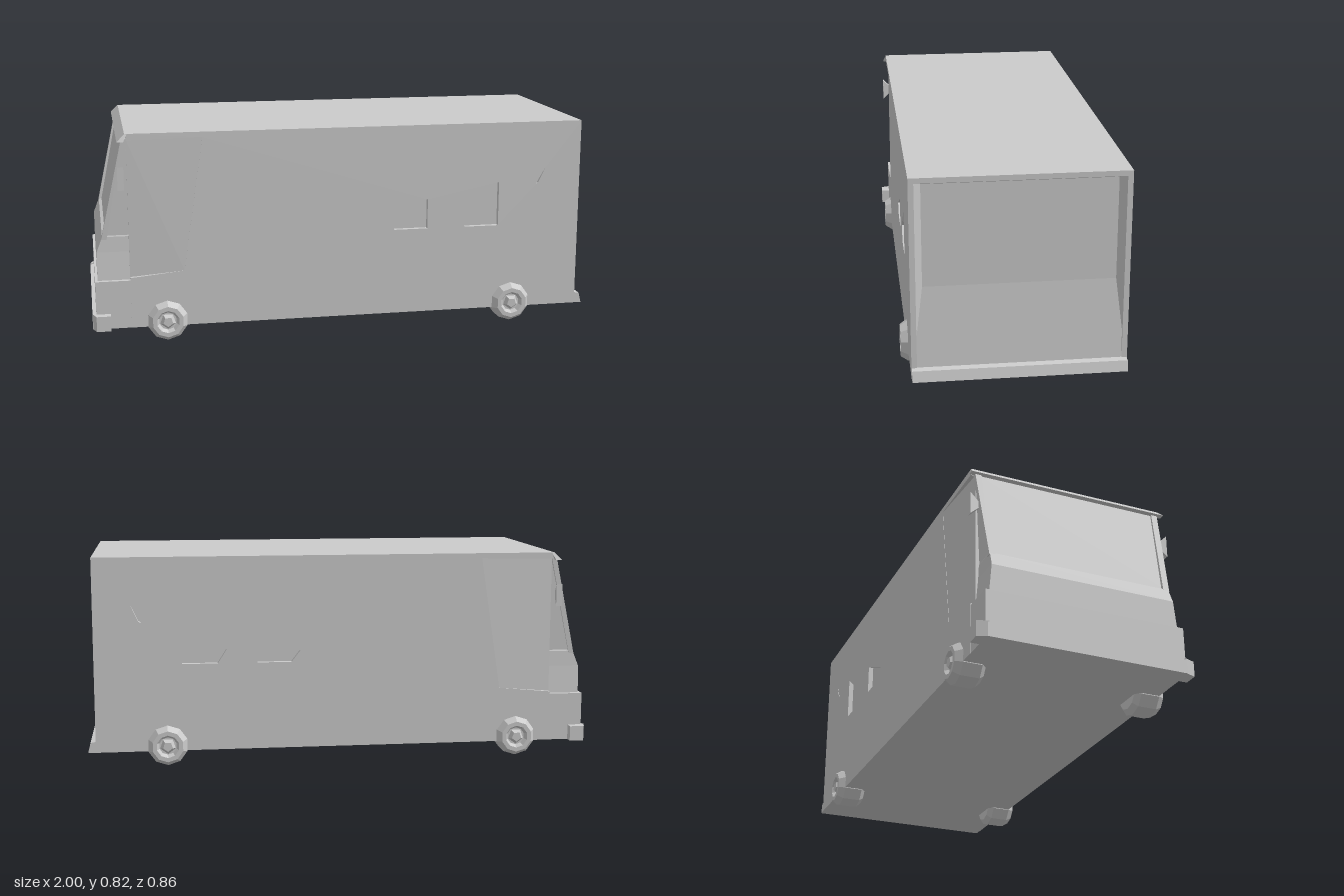
import * as THREE from 'three';

const mat = new THREE.MeshStandardMaterial({ color: 0xcccccc, flatShading: true, side: THREE.DoubleSide });

function add(parent, name, geometry, x = 0, y = 0, z = 0) {
  const mesh = new THREE.Mesh(geometry, mat);
  mesh.name = name;
  mesh.position.set(x, y, z);
  parent.add(mesh);
  return mesh;
}

function box(parent, name, x0, x1, y0, y1, z0, z1) {
  return add(parent, name, new THREE.BoxGeometry(x1 - x0, y1 - y0, z1 - z0),
    (x0 + x1) / 2, (y0 + y1) / 2, (z0 + z1) / 2);
}

// Skins a series of closed rings of equal length
function loft(rings, capStart, capEnd) {
  const n = rings[0].length, index = [];
  for (let r = 0; r < rings.length - 1; r++) {
    for (let i = 0; i < n; i++) {
      const a = r * n + i, b = r * n + (i + 1) % n;
      index.push(a, b, b + n, a, b + n, a + n);
    }
  }
  const last = (rings.length - 1) * n;
  for (let i = 1; i < n - 1; i++) {
    if (capStart) index.push(0, i + 1, i);
    if (capEnd) index.push(last, last + i, last + i + 1);
  }
  const g = new THREE.BufferGeometry();
  g.setAttribute('position', new THREE.Float32BufferAttribute(rings.flat(2), 3));
  g.setIndex(index);
  const flat = g.toNonIndexed();
  flat.computeVertexNormals();
  return flat;
}

const path = (Type, pts) => new Type(pts.map(p => new THREE.Vector2(...p)));

// Side wall with triangular window dents and a front notch
function sideWall() {
  const shape = path(THREE.Shape, [
    [-0.85, 0.06], [0.97, 0.06], [0.97, 0.825], [-0.85, 0.825],
    [-0.85, 0.8], [-0.56, 0.805], [-0.64, 0.28], [-0.85, 0.26],
  ]);
  const windows = [
    [[0.165, 0.45], [0.335, 0.525], [0.335, 0.405], [0.2, 0.405]],
    [[0.455, 0.46], [0.63, 0.585], [0.63, 0.405], [0.49, 0.405]],
    [[0.785, 0.57], [0.825, 0.64], [0.795, 0.575]],
  ];
  for (const w of windows) shape.holes.push(path(THREE.Path, w));
  return new THREE.ExtrudeGeometry(shape, { depth: 0.02, bevelEnabled: false });
}

function wheel() {
  const g = new THREE.Group();
  g.name = 'wheel';
  const profile = [[0, 0], [0.06, 0], [0.08, 0.02], [0.08, 0.095], [0.062, 0.122], [0.045, 0.122], [0.035, 0.105], [0, 0.105]];
  const tyre = new THREE.LatheGeometry(profile.map(p => new THREE.Vector2(...p)), 10);
  add(g, 'tyre', tyre.rotateX(Math.PI / 2));
  add(g, 'hub', new THREE.CylinderGeometry(0.02, 0.034, 0.02, 5).rotateX(Math.PI / 2), 0, 0, 0.112);
  return g;
}

export function createModel() {
  const group = new THREE.Group();

  // Box body
  box(group, 'bodyCore', -0.85, 0.94, 0.06, 0.81, -0.375, 0.375);
  box(group, 'roof', -0.85, 0.97, 0.805, 0.825, -0.394, 0.394);

  // Rear end, sunk below the roof rim and easing out to the floor
  const rear = (x, z, y0, y1) => [[x, y0, -z], [x, y1, -z], [x, y1, z], [x, y0, z]];
  add(group, 'rearPanel', loft([rear(0.97, 0.394, 0.06, 0.825), rear(0.945, 0.35, 0.41, 0.795)], false, true));
  const floor = box(group, 'rearFloor', 0.93, 0.97, 0.06, 0.065, -0.394, 0.394);
  floor.castShadow = true;

  // Parts mirrored on both sides
  for (const s of [1, -1]) {
    const side = new THREE.Group();
    side.name = s > 0 ? 'frontSide' : 'backSide';
    side.scale.z = s;
    group.add(side);
    add(side, 'sideWall', sideWall(), 0, 0, 0.375);

    // Cab door panel sloping inwards towards the nose
    const door = loft([
      [[-0.56, 0.805, 0.394], [-0.64, 0.28, 0.394]],
      [[-0.85, 0.8, 0.378], [-0.85, 0.26, 0.378]],
    ], false, false);
    add(side, 'cabDoor', door);

    for (const x of [-0.71, 0.69]) {
      const w = wheel();
      w.position.set(x, 0.082, 0.3);
      side.add(w);
    }

    // Windscreen pillar
    const bar = (x, y, z) => [[x, y, z - 0.025], [x + 0.02, y, z - 0.025], [x + 0.02, y, z], [x, y, z]];
    add(side, 'pillar', loft([bar(-0.955, 0.41, 0.365), bar(-0.868, 0.805, 0.385)], true, true));

    // Wing mirror, a flat tapering wedge
    const mirror = (z, h, d) => [[-0.875 - d, 0.655 - h, z], [-0.875 + d, 0.655 - h, z], [-0.875 + d, 0.655 + h, z], [-0.875 - d, 0.655 + h, z]];
    add(side, 'mirror', loft([mirror(0.375, 0.012, 0.008), mirror(0.41, 0.045, 0.012)], true, true));

    // Flared bumper corner
    const corner = (z, x0) => [[x0, 0.06, z], [-0.93, 0.06, z], [-0.93, 0.12, z], [x0, 0.12, z]];
    add(side, 'bumperCorner', loft([corner(0.385, -1), corner(0.428, -0.985)], true, true));
  }

  // Cab: broad lower block, then a narrower nose and raked windscreen
  const level = (y, x, z, back = -0.84) => [[back, y, -z], [back, y, z], [x, y, z], [x, y, -z]];
  add(group, 'cabLower', loft([level(0.06, -0.985, 0.394), level(0.25, -0.985, 0.394)], true, true));
  add(group, 'cabUpper', loft([
    level(0.25, -0.975, 0.375), level(0.36, -0.975, 0.365), level(0.42, -0.952, 0.362),
    level(0.425, -0.94, 0.36), level(0.8, -0.862, 0.375), level(0.82, -0.855, 0.38),
  ], true, true));

  // Visor over the windscreen
  add(group, 'visor', loft([level(0.795, -0.885, 0.405, -0.86), level(0.825, -0.855, 0.394, -0.845)], true, true));

  // Bumpers
  box(group, 'frontBumper', -1, -0.93, 0.06, 0.115, -0.39, 0.39);
  const rearBumper = path(THREE.Shape, [[0.96, 0.06], [1, 0.06], [0.99, 0.1], [0.96, 0.105]]);
  add(group, 'rearBumper', new THREE.ExtrudeGeometry(rearBumper, { depth: 0.788, bevelEnabled: false }), 0, 0, -0.394);

  return group;
}
